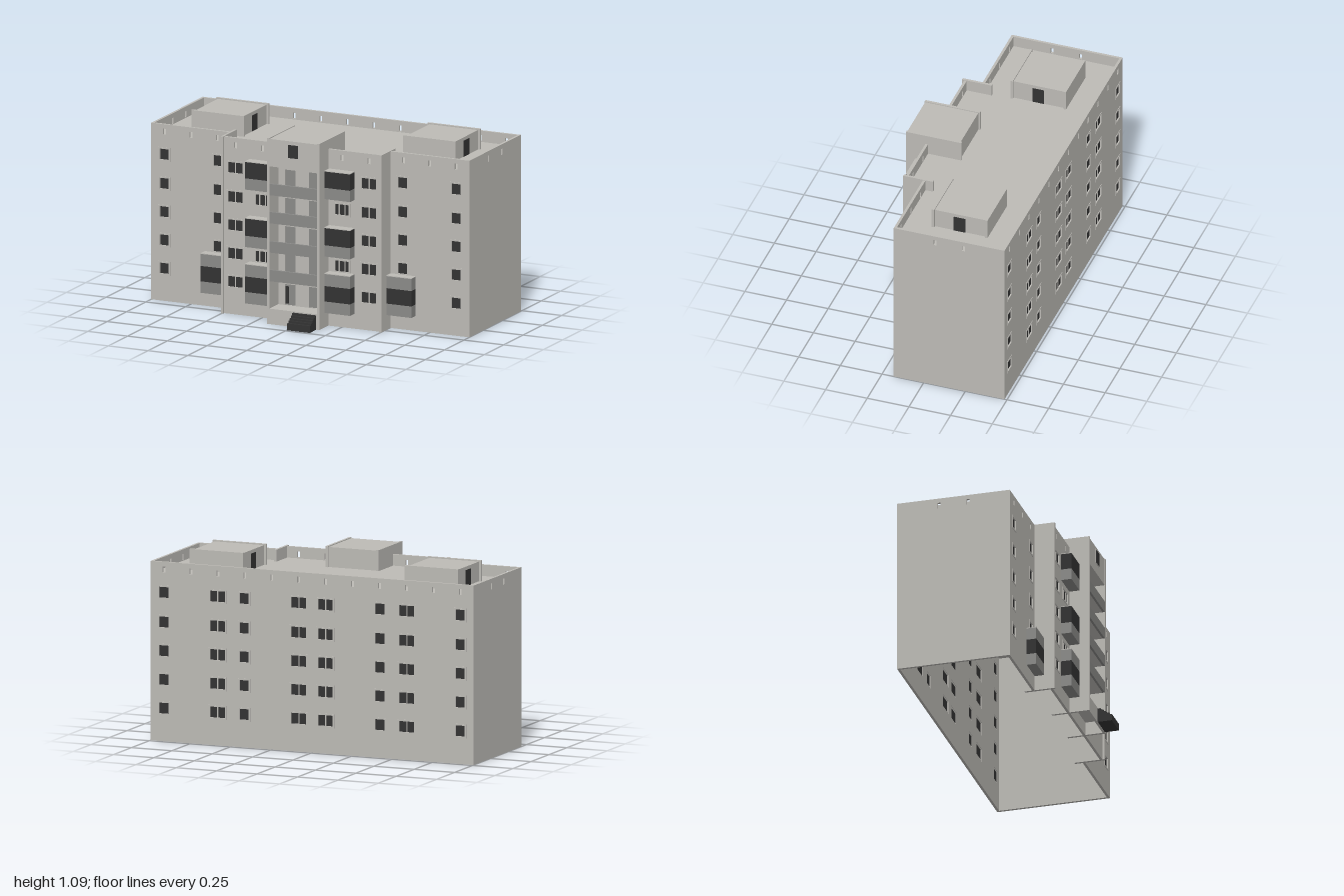
import * as THREE from 'three';

const mat = (name, color, side = THREE.FrontSide) => {
  const m = new THREE.MeshStandardMaterial({ color, side });
  m.name = name;
  return m;
};

const T = 0.015;        // wall thickness
const H = 1.03;         // parapet height
const ROOF = 0.965;     // roof level
const FLOORS = [0.19, 0.355, 0.52, 0.685, 0.855]; // window centre heights

export function createModel() {
  const concrete = mat('concrete', 0xbdbbb6);
  const panelGrey = mat('panelGrey', 0x8b8b89);
  const dark = mat('darkGlass', 0x333333);
  const model = new THREE.Group();

  // Box given by its limits on each axis
  const box = (name, material, x0, x1, y0, y1, z0, z1, parent = model) => {
    const m = new THREE.Mesh(new THREE.BoxGeometry(x1 - x0, y1 - y0, z1 - z0), material);
    m.position.set((x0 + x1) / 2, (y0 + y1) / 2, (z0 + z1) / 2);
    m.name = name;
    parent.add(m);
    return m;
  };

  const rect = (Kind, x, y, w, h) => {
    const p = new Kind();
    p.moveTo(x - w / 2, y - h / 2);
    p.lineTo(x + w / 2, y - h / 2);
    p.lineTo(x + w / 2, y + h / 2);
    p.lineTo(x - w / 2, y + h / 2);
    p.closePath();
    return p;
  };

  const plate = (name, shape, depth, z, parent) => {
    const g = new THREE.ExtrudeGeometry(shape, { depth, bevelEnabled: false });
    const m = new THREE.Mesh(g, concrete);
    m.position.z = z;
    m.name = name;
    parent.add(m);
  };

  // Wall whose outer face is local z = 0, with framed windows, doors and open drains
  const wall = (name, x0, x1, openings) => {
    const g = new THREE.Group();
    g.name = name;
    const shape = rect(THREE.Shape, (x0 + x1) / 2, H / 2, x1 - x0, H);
    for (const { kind, x, y, w, h, bars = 0 } of openings) {
      shape.holes.push(rect(THREE.Path, x, y, w, h));
      const l = x - w / 2, r = x + w / 2, b = y - h / 2, t = y + h / 2;
      if (kind === 'drain') continue;
      if (kind === 'door') {
        box('stairDoor', panelGrey, l, r, b, t, -0.011, -0.004, g);
        continue;
      }
      const frame = rect(THREE.Shape, x, y, w, h);
      frame.holes.push(rect(THREE.Path, x, y, w - 0.018, h - 0.018));
      plate('windowFrame', frame, T + 0.001, -T + 0.002, g);
      box('windowGlass', dark, l + 0.005, r - 0.005, b + 0.005, t - 0.005, -0.011, -0.005, g);
      for (let i = 0; i < bars; i++) {
        const c = x + (i - (bars - 1) / 2) * 0.036;
        box('windowBar', concrete, c - 0.003, c + 0.003, b + 0.006, t - 0.006, -0.007, -0.002, g);
      }
    }
    plate('wallPanel', shape, T, -T, g);
    model.add(g);
    return g;
  };

  const windowColumn = (x, w, bars = 0, floors = FLOORS) =>
    floors.map((y) => ({ kind: 'window', x, y, w, h: 0.08, bars }));
  const drain = (x) => ({ kind: 'drain', x, y: 0.987, w: 0.018, h: 0.034 });
  const both = (fn) => [-1, 1].flatMap(fn);

  // Back wall
  const back = wall('backWall', -1, 1, [
    ...both((s) => [
      ...windowColumn(s * 0.917, 0.075), ...windowColumn(s * 0.585, 0.11, 1),
      ...windowColumn(s * 0.42, 0.075), ...windowColumn(s * 0.083, 0.11, 1),
    ]),
    ...Array.from({ length: 12 }, (_, i) => drain(0.917 - i * 0.1667)),
  ]);
  back.rotation.y = Math.PI;
  back.position.z = -0.485;

  // Recessed centre front with stair landing doors
  const doors = both((s) => [
    { kind: 'door', x: s * 0.075, y: 0.152, w: 0.065, h: 0.12 },
    ...[0.385, 0.55, 0.715, 0.88].map((t) => ({ kind: 'door', x: s * 0.075, y: t - 0.055, w: 0.065, h: 0.11 })),
  ]);
  wall('centreFrontWall', -0.49, 0.49, [
    ...doors,
    ...both((s) => [
      ...windowColumn(s * 0.42, 0.11, 1), ...windowColumn(s * 0.25, 0.105, 2),
      drain(s * 0.42), drain(s * 0.25),
    ]),
  ]).position.z = 0.285;
  box('entranceDoorLeaf', dark, -0.104, -0.085, 0.1, 0.2, 0.281, 0.287);

  // Balcony with alternating grey and dark bands
  const balcony = (x0, x1, z0, z1, bands) => {
    const g = new THREE.Group();
    g.name = 'balcony';
    bands.forEach(([y0, y1, m]) => box('balconyBand', m, x0, x1, y0, y1, z0, z1, g));
    const top = bands[bands.length - 1][1];
    box('balconyCap', concrete, x0, x1, top, top + 0.004, z0, z1, g);
    model.add(g);
  };
  const enclosed = [[0.088, 0.155, panelGrey], [0.155, 0.245, dark], [0.245, 0.315, panelGrey]];

  for (const s of [-1, 1]) {
    const span = (a, b) => (s > 0 ? [a, b] : [-b, -a]);

    // Wing front and end wall
    wall('wingFrontWall', ...span(0.505, 1), [
      ...windowColumn(s * 0.917, 0.075), ...windowColumn(s * 0.58, 0.075),
      drain(s * 0.917), drain(s * 0.75), drain(s * 0.585),
    ]).position.z = 0.18;
    const end = wall('endWall', -0.3175, 0.3175, [drain(-0.085), drain(0.085)]);
    end.rotation.y = s * Math.PI / 2;
    end.position.set(s, 0, -0.1525);

    // Centre block and tower side walls
    box('centreSideWall', concrete, ...span(0.49, 0.505), 0, H + 0.003, 0.12, 0.298);
    box('towerSideWall', concrete, ...span(0.15, 0.165), 0, 1.085, 0.18, 0.402);
    box('towerRoofSideWall', concrete, ...span(0.15, 0.165), ROOF, 1.085, 0.07, 0.18);

    // Balconies
    balcony(...span(0.505, 0.663), 0.18, 0.236, enclosed);
    balcony(...span(0.168, 0.33), 0.285, 0.345, enclosed);
    for (const [y, h] of [[0.417, 0.583], [0.752, 0.913]]) {
      balcony(...span(0.168, 0.33), 0.285, 0.345, [[y, y + 0.066, panelGrey], [y + 0.066, h, dark]]);
    }

    // Roof house with end walls and side doors
    box('roofHouse', concrete, ...span(0.512, 0.818), ROOF, 1.078, -0.307, -0.003);
    for (const z of [-0.322, -0.003]) {
      box('roofHouseEndWall', concrete, ...span(0.5, 0.83), ROOF, 1.085, z, z + T);
    }
    for (const x of [0.51, 0.817]) {
      box('roofHouseDoor', dark, ...span(x, x + 0.004), ROOF, 1.058, -0.187, -0.117);
    }
  }

  // Roof slabs inside the parapet
  box('mainRoof', concrete, -0.985, 0.985, ROOF - T, ROOF, -0.47, 0.165);
  box('centreRoof', concrete, -0.49, 0.49, ROOF - T, ROOF, 0.165, 0.27);

  // Stair tower head
  box('towerHead', concrete, -0.15, 0.15, 0.92, 1.08, 0.08, 0.399);
  box('towerWindowFrame', concrete, -0.036, 0.036, 0.978, 1.064, 0.399, 0.402);
  box('towerWindow', dark, -0.031, 0.031, 0.983, 1.059, 0.4, 0.404);

  // Landings and their parapets
  for (const y of [0.25, 0.417, 0.588, 0.752]) {
    box('landingSlab', concrete, -0.15, 0.15, y, y + 0.012, 0.285, 0.387);
    box('landingParapet', panelGrey, -0.15, 0.15, y, y + 0.066, 0.387, 0.4);
  }

  // Porch and entrance steps
  box('porchSlab', concrete, -0.15, 0.15, 0.077, 0.09, 0.285, 0.387);
  box('porchFront', concrete, -0.15, 0.15, 0, 0.09, 0.387, 0.4);
  for (let i = 0; i < 5; i++) {
    const z = 0.402 + i * 0.0166;
    box('entranceStep', dark, 0.002, 0.145, 0, 0.084 - i * 0.011, z, z + 0.0166);
  }
  return model;
}
